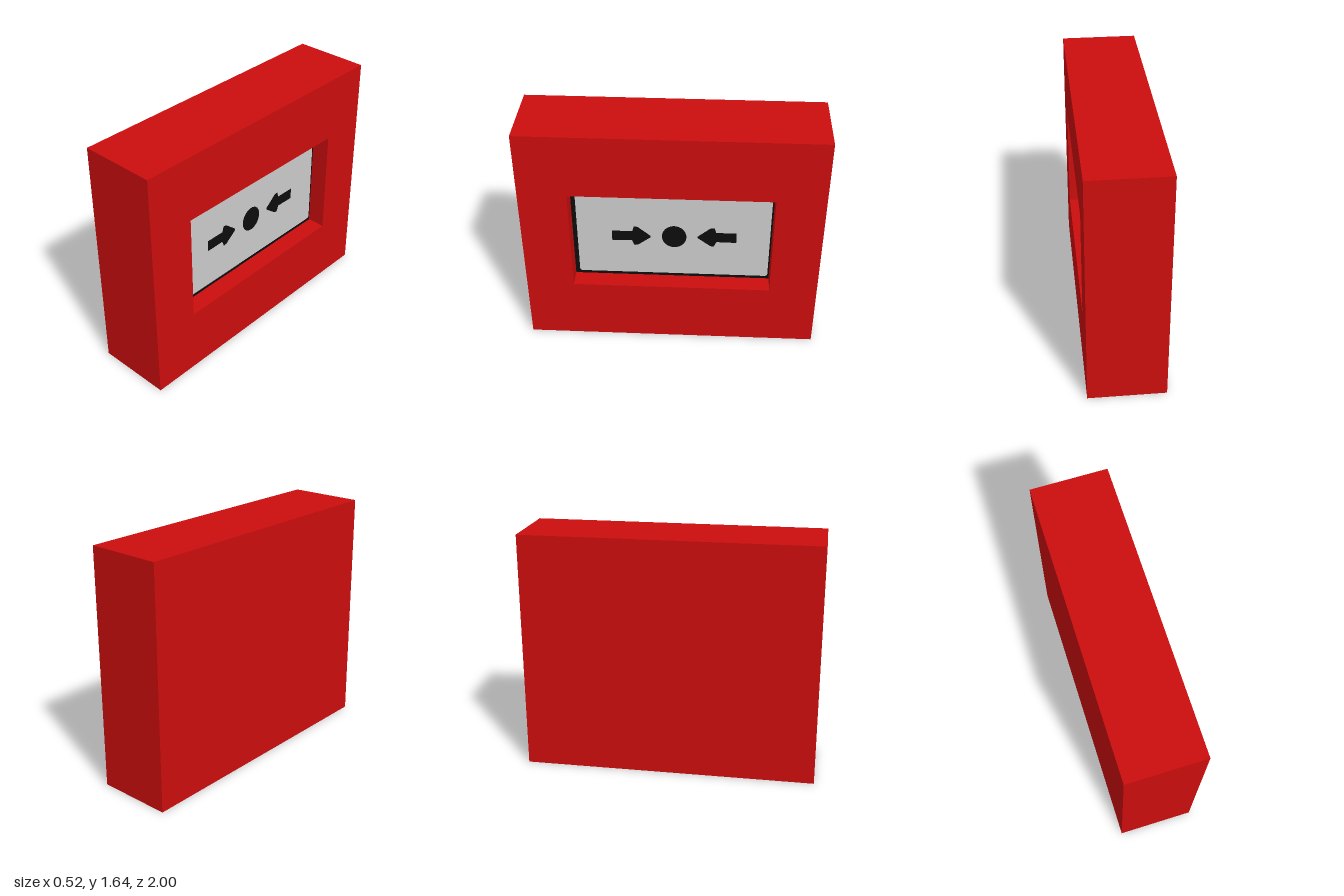
import * as THREE from 'three';

const W = 0.52, H = 1.64, D = 2, DEPTH = 0.13;

export function createModel() {
  const model = new THREE.Group();
  model.name = 'callPoint';
  const paint = (name, color) => {
    const m = new THREE.MeshStandardMaterial({ color });
    m.name = name;
    return m;
  };
  const red = paint('red', 0xcb0d0d);
  const black = paint('black', 0x0c0c0c);
  const grey = paint('lightGrey', 0xcbcbcb);

  const add = (name, geometry, material, x, y = 0) => {
    const mesh = new THREE.Mesh(geometry, material);
    mesh.name = name;
    mesh.position.set(x, y, 0);
    model.add(mesh);
  };
  // Shapes are drawn in (-z, y) and turned to face +x
  const outline = pts => new THREE.Shape(pts.map(p => new THREE.Vector2(...p)));
  const rect = (l, b, r, t) => outline([[l, b], [r, b], [r, t], [l, t]]);
  const flat = shape => new THREE.ShapeGeometry(shape, 24).rotateY(Math.PI / 2);

  // Casing: solid back and a thick frame round the recess
  const floorX = W / 2 - DEPTH;
  add('casingBack', new THREE.BoxGeometry(W - DEPTH, H, D), red, -DEPTH / 2, H / 2);
  const frame = rect(-D / 2, 0, D / 2, H);
  frame.holes.push(rect(-0.675, 0.45, 0.675, 1.197));
  add('casingFrame', new THREE.ExtrudeGeometry(frame, { depth: DEPTH, bevelEnabled: false })
    .rotateY(Math.PI / 2), red, floorX);

  // Recess floor and label with slightly rounded corners
  add('recessFloor', flat(rect(-0.675, 0.45, 0.675, 1.197)), black, floorX + 0.002);
  const l = -0.645, r = 0.664, b = 0.473, t = 1.17, c = 0.012;
  add('label', flat(outline([[l + c, b], [r - c, b], [r, b + c], [r, t - c],
    [r - c, t], [l + c, t], [l, t - c], [l, b + c]])), grey, floorX + 0.004);

  // Press mark: a dot between two arrows pointing at it
  const dot = new THREE.Shape();
  dot.absellipse(0.015, 0.797, 0.083, 0.09, 0, Math.PI * 2);
  add('pressDot', flat(dot), black, floorX + 0.007);

  const arrow = (name, tail, dir, y) => add(name, flat(outline([
    [0, -0.04], [0.135, -0.038], [0.152, -0.078], [0.175, -0.075], [0.263, -0.008],
    [0.263, 0.004], [0.175, 0.078], [0.15, 0.08], [0.138, 0.04], [0, 0.04],
  ].map(([u, v]) => [tail + dir * u, y + v]))), black, floorX + 0.007);
  arrow('frontArrow', -0.408, 1, 0.794);
  arrow('backArrow', 0.437, -1, 0.8);

  return model;
}
